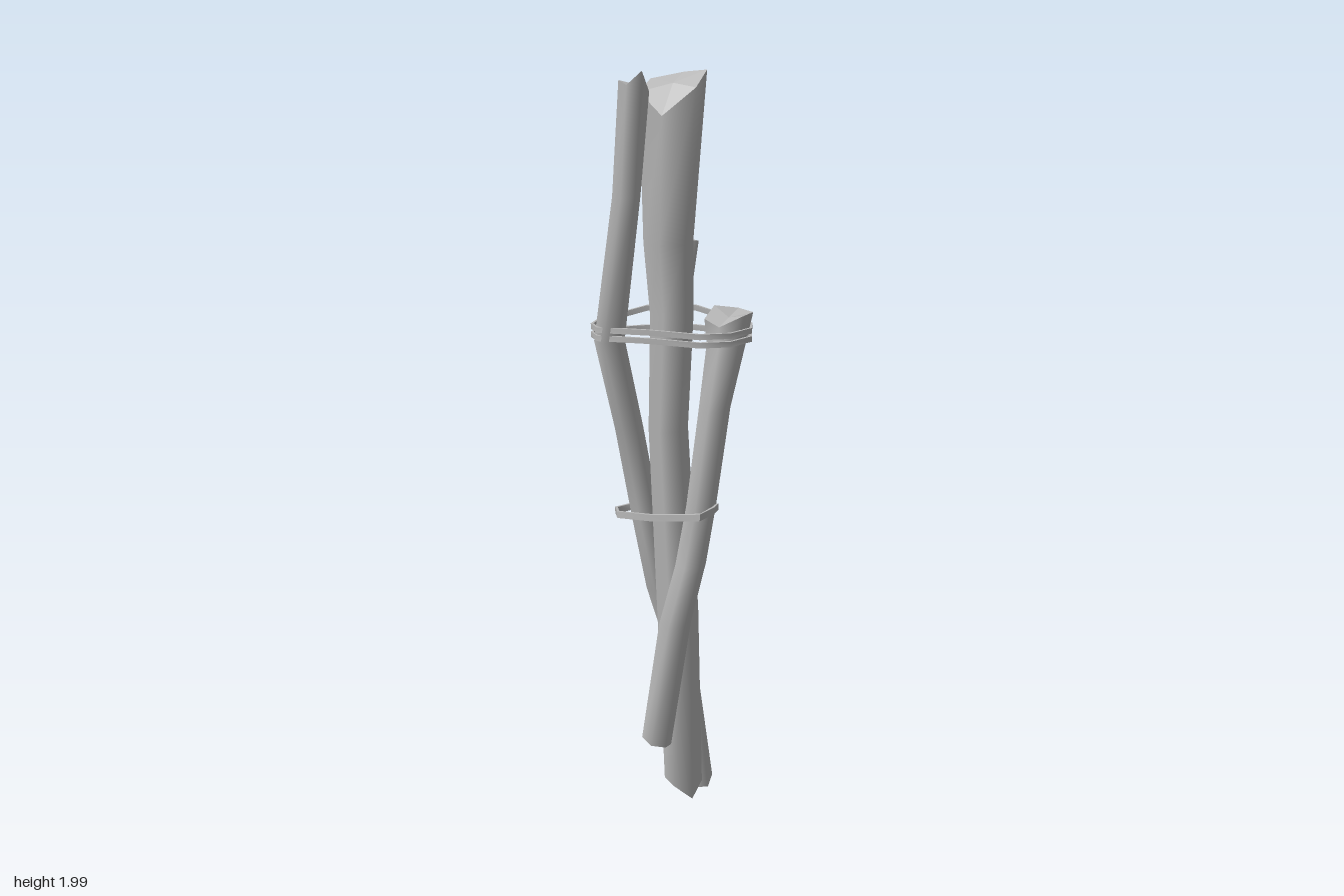
import * as THREE from 'three';
import { toCreasedNormals } from 'three/addons/utils/BufferGeometryUtils.js';

const SIDES = 6;

// Tapering stick: rings along a path of [x, y, z, rx, rz, turn], with jagged broken ends.
// Vertex order in a ring: front, front left, back left, back, back right, front right.
function makeStick(name, material, path, bottomJag, topJag) {
  const group = new THREE.Group();
  group.name = name;
  const last = path.length - 1;
  const rings = path.map(([x, y, z, rx, rz = rx, turn = 0], i) =>
    Array.from({ length: SIDES }, (_, j) => {
      const a = -Math.PI / 2 + (j / SIDES) * Math.PI * 2 + turn;
      const jag = i === 0 ? bottomJag[j] : i === last ? topJag[j] : 0;
      const dx = Math.cos(a) * rx, dz = -Math.sin(a) * rz;
      const c = Math.cos(turn), s = Math.sin(turn);
      return [x + dx * c - dz * s, y + jag, z + dx * s + dz * c];
    }));

  // Smooth bark
  const index = [];
  for (let i = 0; i < last; i++) {
    for (let j = 0; j < SIDES; j++) {
      const a = i * SIDES + j, b = i * SIDES + (j + 1) % SIDES;
      index.push(a, b, b + SIDES, a, b + SIDES, a + SIDES);
    }
  }
  const bark = new THREE.BufferGeometry();
  bark.setAttribute('position', new THREE.Float32BufferAttribute(rings.flat(2), 3));
  bark.setIndex(index);
  bark.computeVertexNormals();
  const barkMesh = new THREE.Mesh(bark, material);
  barkMesh.name = name + 'Bark';
  group.add(barkMesh);

  // Faceted broken ends
  const caps = [];
  for (const [i, dir] of [[0, -1], [last, 1]]) {
    const centre = path[i].slice(0, 3);
    for (let j = 0; j < SIDES; j++) {
      const p = rings[i][j], q = rings[i][(j + 1) % SIDES];
      caps.push(...centre, ...(dir > 0 ? p : q), ...(dir > 0 ? q : p));
    }
  }
  const ends = new THREE.BufferGeometry();
  ends.setAttribute('position', new THREE.Float32BufferAttribute(caps, 3));
  ends.computeVertexNormals();
  const endMesh = new THREE.Mesh(ends, material);
  endMesh.name = name + 'Ends';
  group.add(endMesh);
  return group;
}

// Closed flat strap pulled tight around the bundle, straight between its corners
function makeStrap(name, material, points, height, thickness = 0.007) {
  const n = points.length, verts = [], index = [];
  points.forEach(([x, y, z], i) => {
    const p = points[(i + n - 1) % n], q = points[(i + 1) % n];
    const out = new THREE.Vector2(q[2] - p[2], p[0] - q[0]).setLength(thickness / 2);
    for (const [side, up] of [[1, -1], [1, 1], [-1, 1], [-1, -1]]) {
      verts.push(x + out.x * side, y + up * height / 2, z + out.y * side);
    }
    for (let k = 0; k < 4; k++) {
      const a = i * 4 + k, b = i * 4 + (k + 1) % 4;
      const c = ((i + 1) % n) * 4 + k, d = ((i + 1) % n) * 4 + (k + 1) % 4;
      index.push(a, b, d, a, d, c);
    }
  });
  const geometry = new THREE.BufferGeometry();
  geometry.setAttribute('position', new THREE.Float32BufferAttribute(verts, 3));
  geometry.setIndex(index);
  const mesh = new THREE.Mesh(toCreasedNormals(geometry, 1), material);
  mesh.name = name;
  return mesh;
}

export function createModel() {
  const model = new THREE.Group();
  model.name = 'stickBundle';
  const grey = new THREE.MeshStandardMaterial({ color: 0xb8b8b8 });
  grey.name = 'grey wood';
  const diagonal = Math.PI / 4;

  // Thick middle stick
  model.add(makeStick('mainStick', grey, [
    [0.016, 0.09, 0.03, 0.058, 0.038],
    [0.01, 0.6, 0.012, 0.056, 0.052],
    [0.006, 1.1, -0.022, 0.053, 0.046],
    [0.008, 1.4, -0.01, 0.056, 0.052],
    [0.005, 1.58, -0.02, 0.062, 0.054, diagonal],
    [0.01, 1.96, -0.008, 0.082, 0.056, diagonal],
  ], [-0.04, -0.01, -0.01, -0.02, 0.02, 0.01], [-0.005, 0.03, 0.02, 0.005, -0.02, -0.07]));

  // Broken branch on the middle stick
  model.add(makeStick('branchStub', grey, [
    [0.0, 1.28, -0.024, 0.036],
    [0.03, 1.44, -0.03, 0.044],
    [0.057, 1.575, -0.037, 0.046],
  ], [0, 0, 0, 0, 0, 0], [0.005, -0.005, -0.005, 0.005, 0.02, 0.02]));

  // Front stick, leaning from upper left to lower right
  model.add(makeStick('frontStick', grey, [
    [-0.075, 0.25, 0.027, 0.04, 0.037],
    [-0.043, 0.6, 0.066, 0.044, 0.038],
    [-0.005, 0.76, 0.082, 0.042, 0.036],
    [0.02, 0.92, 0.093, 0.04, 0.036],
    [0.04, 1.18, 0.118, 0.042, 0.036],
    [0.082, 1.34, 0.112, 0.052, 0.045],
    [0.093, 1.4, 0.107, 0.064, 0.055],
  ], [-0.01, -0.02, -0.02, 0, 0.01, 0], [0.015, 0.01, 0.01, 0.02, 0, -0.01]));

  // Crooked stick that crosses behind the others
  model.add(makeStick('rearStick', grey, [
    [0.132, 0.025, -0.05, 0.042, 0.048],
    [0.085, 0.46, -0.077, 0.04, 0.042],
    [0.04, 0.62, -0.098, 0.038, 0.037],
    [-0.015, 0.85, -0.092, 0.038, 0.035],
    [-0.038, 1.08, -0.128, 0.038, 0.034],
    [-0.13, 1.34, -0.085, 0.039, 0.036],
    [-0.1, 1.7, -0.05, 0.042, 0.034, -diagonal],
    [-0.098, 1.965, -0.02, 0.068, 0.035, -diagonal],
  ], [-0.015, 0, 0, 0.005, -0.01, -0.015], [0.035, -0.02, -0.015, -0.03, 0.01, 0.005]));

  // Upper strap, two turns; the second rides up at the back
  const upper = [
    [-0.167, -0.085, 0], [-0.155, -0.122, 0], [-0.12, -0.136, 0.005], [-0.01, -0.085, 0.03],
    [0.085, -0.01, 0.03], [0.152, 0.125, 0], [0.12, 0.158, 0], [0.05, 0.163, 0],
    [-0.015, 0.125, 0], [-0.085, 0.015, 0],
  ];
  [1.352, 1.373].forEach((y, turn) => {
    model.add(makeStrap('upperStrap' + (turn + 1), grey,
      upper.map(([x, z, lift]) => [x, y + lift * turn, z]), 0.014));
  });

  // Lower strap
  model.add(makeStrap('lowerStrap', grey, [
    [-0.105, 0.868, -0.09], [-0.075, 0.858, -0.138], [-0.02, 0.855, -0.14], [0.025, 0.862, -0.08],
    [0.054, 0.89, 0.03], [0.054, 0.912, 0.115], [0.025, 0.915, 0.133], [-0.018, 0.907, 0.133],
    [-0.075, 0.885, 0.02],
  ], 0.018));

  return model;
}
